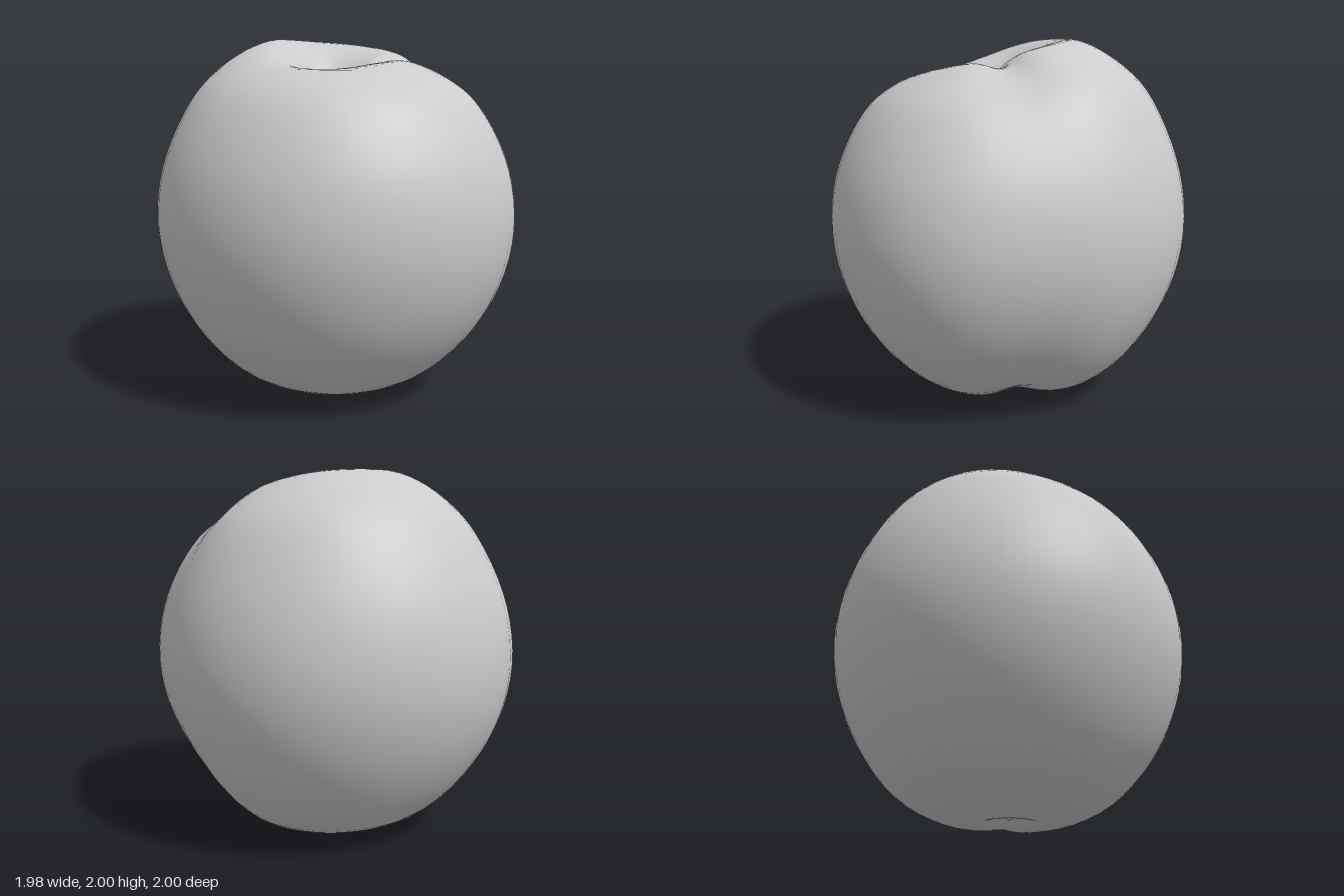
import * as THREE from 'three';
import { mergeVertices } from 'three/addons/utils/BufferGeometryUtils.js';

const SEGMENTS = 56, RINGS = 60;
const { lerp, smoothstep } = THREE.MathUtils;

// Profile from the stem dimple to the blossom end: radius, height at the back, height at the front
const profile = new THREE.CatmullRomCurve3([
  [0, 1.67, 1.67], [0.05, 1.7, 1.675], [0.1, 1.8, 1.7], [0.16, 1.9, 1.75],
  [0.24, 1.97, 1.8], [0.34, 1.995, 1.83], [0.43, 1.975, 1.83], [0.53, 1.925, 1.8],
  [0.64, 1.85, 1.745], [0.75, 1.745, 1.665], [0.84, 1.6, 1.55], [0.93, 1.39, 1.37],
  [0.98, 1.2, 1.2], [1, 1, 1], [0.98, 0.8, 0.8], [0.92, 0.6, 0.6],
  [0.83, 0.42, 0.42], [0.71, 0.25, 0.26], [0.57, 0.125, 0.13], [0.42, 0.05, 0.05],
  [0.29, 0.015, 0.015], [0.19, 0.005, 0.005], [0.11, 0.025, 0.025], [0.06, 0.055, 0.055],
  [0, 0.03, 0.03],
].map((p) => new THREE.Vector3(...p)));

// Soft bump of height 1 around a given angle
function bump(angle, centre, width) {
  const d = Math.atan2(Math.sin(angle - centre), Math.cos(angle - centre));
  return Math.exp(-((d / width) ** 2));
}

// Rises from 0 to 1 between a and b, falls back to 0 between c and d
const band = (r, a, b, c, d) => smoothstep(r, a, b) * (1 - smoothstep(r, c, d));

function surfacePoint(t, angle) {
  const p = profile.getPoint(t);
  const r = Math.max(p.x, 0);
  let y = lerp(p.y, p.z, 0.5 + 0.5 * Math.sin(angle));
  const top = smoothstep(y, 1, 1.6);

  // Low lip in front of the dimple, raised shoulder behind it on the right
  y -= 0.085 * top * bump(angle, 2.0, 0.5) * band(r, 0.08, 0.22, 0.28, 0.6);
  y += 0.045 * top * bump(angle, 3.6, 0.75) * band(r, 0.12, 0.4, 0.5, 0.9);

  // Slightly uneven girth
  const girth = 1 + 0.035 * bump(angle, 3.75, 0.6) + 0.035 * bump(angle, 0.65, 0.5)
    - 0.02 * bump(angle, -0.4, 0.5) - 0.015 * bump(angle, 2.35, 0.5);
  const wide = lerp(1, girth, smoothstep(r, 0.4, 1));

  // Suture groove down the left side, curling towards the front at the dimple
  const upper = y > 1;
  const grooveAngle = upper ? Math.atan2(0.15 - 0.17 * r, r) : -0.03;
  const grooveWidth = upper ? lerp(0.25, 0.34, smoothstep(r, 0.3, 0.7)) : 0.34;
  const fade = upper ? smoothstep(r, 0.06, 0.26) : smoothstep(r, 0.08, 0.5);
  const depth = (0.033 + 0.04 * (y - 1) ** 2) * fade;
  const k = 1 - depth * bump(angle, grooveAngle, grooveWidth);

  // Dimple sits a little forward and to the right
  const shift = top * (1 - smoothstep(r, 0, 0.36));
  return [
    r * wide * k * Math.cos(angle) - 0.03 * shift,
    1 + (y - 1) * k,
    r * wide * k * Math.sin(angle) + 0.07 * shift,
  ];
}

function fruitGeometry() {
  const positions = [], indices = [];
  for (let i = 0; i <= RINGS; i++) {
    for (let j = 0; j < SEGMENTS; j++) {
      positions.push(...surfacePoint(i / RINGS, (j / SEGMENTS) * Math.PI * 2));
    }
  }
  // Quads between rings, single triangles at the two poles
  for (let i = 0; i < RINGS; i++) {
    for (let j = 0; j < SEGMENTS; j++) {
      const a = i * SEGMENTS + j, b = a + SEGMENTS;
      const c = i * SEGMENTS + (j + 1) % SEGMENTS, d = c + SEGMENTS;
      if (i > 0) indices.push(a, c, b);
      if (i < RINGS - 1) indices.push(c, d, b);
    }
  }
  const geometry = new THREE.BufferGeometry();
  geometry.setAttribute('position', new THREE.Float32BufferAttribute(positions, 3));
  geometry.setIndex(indices);
  const merged = mergeVertices(geometry, 1e-5);
  merged.computeVertexNormals();

  // Stand on the ground, centred
  merged.computeBoundingBox();
  const { min, max } = merged.boundingBox;
  merged.translate(-(min.x + max.x) / 2, -min.y, -(min.z + max.z) / 2);
  return merged;
}

export function createModel() {
  const group = new THREE.Group();
  group.name = 'stoneFruit';
  const fruit = new THREE.Mesh(fruitGeometry(), new THREE.MeshStandardMaterial({ color: 0xcccccc }));
  fruit.name = 'fruitFlesh';
  group.add(fruit);
  return group;
}
